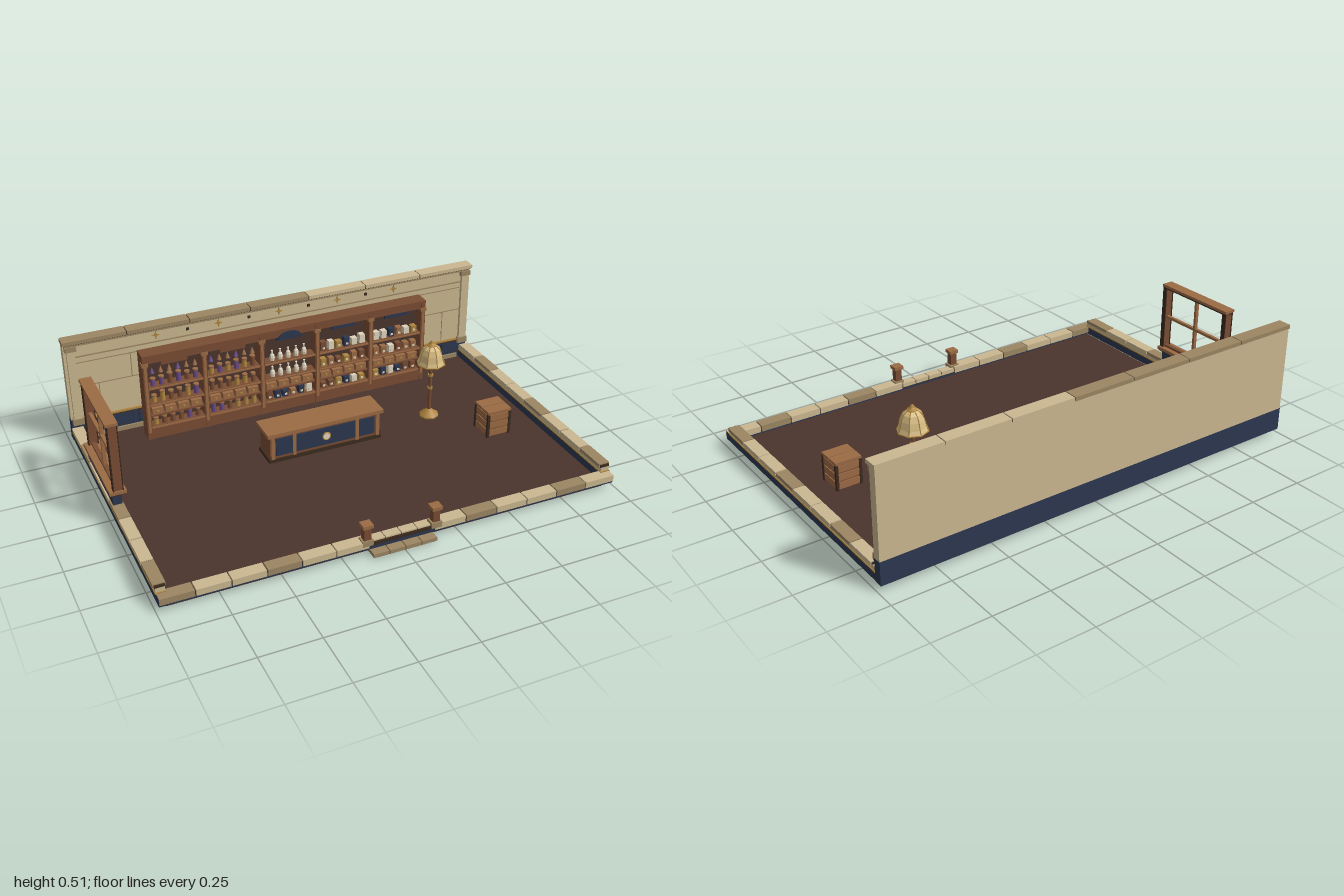
import * as THREE from 'three';

const mat = (name, color, extra = {}) => {
  const m = new THREE.MeshStandardMaterial({ color, ...extra });
  m.name = name;
  return m;
};

export function createModel() {
  const M = {
    floor: mat('floor brown', 0x4a342d),
    wood: mat('wood', 0x7a4d34),
    lightWood: mat('light wood', 0x9c6b45),
    cream: mat('cream stone', 0xcbb891),
    tan: mat('tan stone', 0x9c8663),
    navy: mat('navy', 0x2c3750),
    dark: mat('dark trim', 0x3c2b1e),
    gold: mat('gold', 0xb08640),
    pale: mat('pale glaze', 0xe0d5bd),
    purple: mat('purple', 0x6a4a86),
  };
  const root = new THREE.Group();
  const group = (name, parent = root) => {
    const g = new THREE.Group();
    g.name = name;
    parent.add(g);
    return g;
  };
  const add = (p, name, geo, m, x = 0, y = 0, z = 0) => {
    const o = new THREE.Mesh(geo, m);
    o.name = name;
    o.position.set(x, y, z);
    p.add(o);
    return o;
  };
  // box given by its limits on each axis
  const box = (p, name, m, x0, x1, y0, y1, z0, z1) =>
    add(p, name, new THREE.BoxGeometry(x1 - x0, y1 - y0, z1 - z0), m, (x0 + x1) / 2, (y0 + y1) / 2, (z0 + z1) / 2);
  const lathe = (pts, n) => new THREE.LatheGeometry(pts.map(([r, y]) => new THREE.Vector2(r, y)), n);

  // floor slab
  box(root, 'floor', M.floor, -0.955, 0.955, 0.005, 0.025, -0.635, 0.605);

  // back wall
  const back = group('backWall');
  box(back, 'wallBase', M.navy, -0.99, 0.99, 0.03, 0.13, -0.665, -0.627);
  box(back, 'wallUpper', M.cream, -0.99, 0.99, 0.13, 0.505, -0.664, -0.627);
  box(back, 'wainscotRail', M.gold, -0.98, 0.98, 0.126, 0.134, -0.63, -0.617);
  box(back, 'skirting', M.tan, -0.94, 0.94, 0.03, 0.05, -0.63, -0.618);
  for (let i = 0; i < 14; i++) {
    const x = -0.91 + i * 0.14;
    box(back, 'wainscotPanel', M.dark, x - 0.058, x + 0.058, 0.06, 0.118, -0.628, -0.624);
    box(back, 'wainscotInset', M.navy, x - 0.054, x + 0.054, 0.064, 0.114, -0.628, -0.621);
  }
  // stone courses as thin joint lines
  [0.29, 0.405].forEach((y) => box(back, 'courseJoint', M.tan, -0.94, 0.94, y - 0.002, y + 0.002, -0.628, -0.6255));
  [[0.134, 0.29, 0.85], [0.29, 0.405, 0.7], [0.134, 0.29, 0.45], [0.29, 0.405, 0.3]].forEach(([a, b, x]) =>
    [-x, x].forEach((v) => box(back, 'blockJoint', M.tan, v - 0.002, v + 0.002, a, b, -0.628, -0.6255)));
  // frieze with stars and studs
  box(back, 'friezeRail', M.tan, -0.98, 0.98, 0.492, 0.502, -0.63, -0.613);
  box(back, 'friezeLowerRail', M.tan, -0.94, 0.94, 0.433, 0.438, -0.63, -0.622);
  for (let i = -2; i <= 2; i++) {
    const star = new THREE.Shape();
    for (let k = 0; k < 8; k++) {
      const r = k % 2 ? 0.006 : 0.02, a = (k * Math.PI) / 4;
      star[k ? 'lineTo' : 'moveTo'](r * Math.cos(a), r * Math.sin(a));
    }
    add(back, 'friezeStar', new THREE.ExtrudeGeometry(star, { depth: 0.006, bevelEnabled: false }), M.gold, i * 0.29, 0.467, -0.628);
    if (i < 2) box(back, 'friezeStud', M.dark, i * 0.29 + 0.139, i * 0.29 + 0.151, 0.461, 0.473, -0.628, -0.622);
  }
  for (const s of [-1, 1]) {
    const x = s * 0.96;
    box(back, 'pilaster', M.cream, x - 0.018, x + 0.018, 0.13, 0.48, -0.64, -0.612);
    box(back, 'pilasterBase', M.tan, x - 0.025, x + 0.025, 0.11, 0.14, -0.64, -0.608);
    box(back, 'pilasterCapital', M.tan, x - 0.025, x + 0.025, 0.47, 0.492, -0.64, -0.608);
  }
  box(back, 'capBed', M.dark, -0.988, 0.988, 0.5, 0.517, -0.662, -0.612);
  for (let i = 0; i < 7; i++) {
    const x = -0.995 + i * 0.2843;
    box(back, 'capBlock', i < 4 ? M.tan : M.cream, x + 0.002, x + 0.282, 0.503, 0.52, -0.667, -0.608);
  }

  // low side walls with coping blocks
  for (const s of [-1, 1]) {
    const side = group(s < 0 ? 'rightLowWall' : 'leftLowWall');
    const slab = (n, m, a, b, y0, y1, z0, z1) => box(side, n, m, s < 0 ? -b : a, s < 0 ? -a : b, y0, y1, z0, z1);
    slab('sideBase', M.navy, 0.95, 0.988, 0.03, 0.066, -0.627, 0.63);
    slab('sideRail', M.gold, 0.948, 0.991, 0.065, 0.071, -0.627, 0.6);
    slab('sideCourse', M.cream, 0.95, 0.988, 0.07, 0.09, -0.627, 0.595);
    slab('copingBed', M.dark, 0.949, 0.99, 0.089, 0.099, -0.61, 0.595);
    for (let i = 0; i < 8; i++) {
      const z = -0.61 + i * 0.15;
      slab('copingBlock', i % 3 === 1 || (s > 0 && i === 7) ? M.tan : M.cream, 0.945, 0.995, 0.088, 0.103, z + 0.003, z + 0.147);
    }
  }

  // front kerb, open at the doorway
  const front = group('frontKerb');
  box(front, 'kerbBase', M.navy, -0.988, 0.988, 0.03, 0.048, 0.59, 0.632);
  for (let i = 0; i < 14; i++) {
    if (i === 6 || i === 7) continue;
    const x = -0.99 + i * 0.1414;
    box(front, 'kerbBlock', i % 3 === 0 ? M.tan : M.cream, x + 0.003, x + 0.139, 0.04, 0.068, 0.583, 0.637);
  }
  box(front, 'kerbBed', M.dark, -0.985, 0.985, 0.04, 0.058, 0.588, 0.632);
  for (let i = 0; i < 4; i++)
    box(front, 'doorSill', M.cream, -0.138 + i * 0.07, -0.072 + i * 0.07, 0.045, 0.064, 0.585, 0.625);
  for (const s of [-1, 1]) {
    const x = s * 0.15;
    box(front, 'gatePost', M.wood, x - 0.015, x + 0.015, 0.06, 0.135, 0.602, 0.632);
    box(front, 'gatePostFoot', M.tan, x - 0.023, x + 0.023, 0.05, 0.075, 0.596, 0.638);
    box(front, 'gatePostCap', M.lightWood, x - 0.022, x + 0.022, 0.132, 0.147, 0.597, 0.639);
  }
  box(front, 'stepBed', M.wood, -0.136, 0.136, 0.006, 0.021, 0.6, 0.662);
  for (let i = 0; i < 4; i++)
    box(front, 'stepStone', M.tan, -0.138 + i * 0.07, -0.072 + i * 0.07, 0.01, 0.026, 0.6, 0.666);

  // window frame standing on the side wall
  const win = group('windowFrame');
  box(win, 'windowWall', M.navy, -0.988, -0.95, 0.1, 0.155, -0.35, 0.04);
  box(win, 'windowSill', M.lightWood, -1, -0.93, 0.155, 0.17, -0.36, 0.052);
  box(win, 'sillTrim', M.dark, -0.996, -0.934, 0.15, 0.156, -0.355, 0.048);
  for (const z of [-0.34, 0.038]) {
    box(win, 'jamb', M.wood, -0.98, -0.945, 0.17, 0.468, z - 0.008, z + 0.008);
    for (const x of [-0.982, -0.943]) box(win, 'jambTrim', M.dark, x - 0.002, x + 0.002, 0.17, 0.468, z - 0.011, z + 0.011);
  }
  box(win, 'lintel', M.lightWood, -0.99, -0.938, 0.468, 0.48, -0.352, 0.05);
  box(win, 'lintelTrim', M.dark, -0.984, -0.942, 0.46, 0.469, -0.348, 0.046);
  box(win, 'mullion', M.lightWood, -0.97, -0.955, 0.17, 0.465, -0.157, -0.145);
  box(win, 'transom', M.lightWood, -0.97, -0.955, 0.313, 0.325, -0.335, 0.035);
  box(win, 'bottomRail', M.wood, -0.972, -0.953, 0.17, 0.18, -0.335, 0.035);

  // shelving with five bays
  const shelf = group('shelving');
  box(shelf, 'backPanel', M.floor, -0.68, 0.68, 0.025, 0.435, -0.565, -0.555);
  box(shelf, 'topBoard', M.wood, -0.685, 0.685, 0.43, 0.442, -0.567, -0.493);
  box(shelf, 'plinth', M.wood, -0.68, 0.68, 0.025, 0.075, -0.56, -0.5);
  for (let i = 0; i < 6; i++) {
    const x = -0.674 + i * 0.2696;
    box(shelf, 'upright', M.wood, x - 0.011, x + 0.011, 0.025, 0.432, -0.565, -0.497);
    box(shelf, 'uprightTrim', M.lightWood, x - 0.006, x + 0.006, 0.06, 0.39, -0.5, -0.494);
    box(shelf, 'uprightCap', M.lightWood, x - 0.015, x + 0.015, 0.39, 0.405, -0.52, -0.493);
  }
  const bottle = lathe([[0, 0], [0.011, 0], [0.013, 0.012], [0.01, 0.024], [0.004, 0.03], [0.004, 0.04], [0.006, 0.042], [0, 0.043]], 8);
  let seed = 7;
  const rnd = () => (seed = (seed * 16807) % 2147483647) / 2147483647;
  const levels = [0.085, 0.198, 0.28];
  for (let b = 0; b < 5; b++) {
    const cx = -0.539 + b * 0.2696, bay = group('bay' + (b + 1), shelf);
    box(bay, 'header', M.wood, cx - 0.125, cx + 0.125, 0.4, 0.432, -0.555, -0.502);
    box(bay, 'headerInset', b < 2 ? M.wood : M.navy, cx - 0.06, cx + 0.06, 0.382, 0.402, -0.515, -0.505);
    for (const y of levels) {
      box(bay, 'shelf', M.wood, cx - 0.125, cx + 0.125, y - 0.012, y, -0.556, -0.502);
      box(bay, 'shelfLip', M.lightWood, cx - 0.125, cx + 0.125, y - 0.007, y - 0.001, -0.503, -0.498);
    }
    box(bay, 'middleShelf', M.wood, cx - 0.125, cx + 0.125, 0.133, 0.14, -0.556, -0.505);
    levels.forEach((y, l) => {
      for (let i = 0; i < 6; i++) {
        const x = cx - 0.098 + i * 0.039, h = 0.028 + rnd() * 0.016;
        if (b === 2 && l > 0) {
          if (i < 5) add(bay, 'bottle', bottle, M.pale, x + 0.02, y, -0.525).scale.set(1, 1.2, 1);
        } else if (b < 2) {
          // jars with lids, some hanging herbs on the top shelf
          const m = rnd() < 0.35 ? M.purple : rnd() < 0.5 ? M.gold : M.wood;
          add(bay, 'jar', new THREE.CylinderGeometry(0.011, 0.012, h, 8), m, x, y + h / 2, -0.525);
          add(bay, 'jarLid', new THREE.CylinderGeometry(0.013, 0.013, 0.006, 8), M.lightWood, x, y + h + 0.003, -0.525);
          if (l === 2) add(bay, 'hangingBundle', new THREE.ConeGeometry(0.011, 0.03, 6), i % 3 ? M.lightWood : M.purple, x, 0.355, -0.525);
        } else {
          const m = [M.lightWood, M.navy, M.pale, M.gold, M.wood][Math.floor(rnd() * 5)];
          box(bay, 'packet', m, x - 0.013, x + 0.013, y, y + h, -0.54, -0.512);
          box(bay, 'packetLabel', M.pale, x - 0.006, x + 0.006, y + 0.008, y + 0.018, -0.512, -0.5105);
        }
      }
    });
    for (let i = 0; i < 4; i++) {
      const x = cx - 0.09 + i * 0.06;
      box(bay, 'drawer', M.lightWood, x - 0.025, x + 0.025, 0.142, 0.172, -0.55, -0.508);
      box(bay, 'drawerKnob', M.gold, x - 0.005, x + 0.005, 0.153, 0.161, -0.508, -0.503);
    }
  }
  // arched sign over the middle bay
  const arch = new THREE.Shape();
  arch.absellipse(0, 0, 0.055, 0.03, 0, Math.PI, false, 0);
  add(shelf, 'archSign', new THREE.ExtrudeGeometry(arch, { depth: 0.008, bevelEnabled: false }), M.navy, 0, 0.395, -0.503);

  // counter
  const counter = group('counter');
  box(counter, 'counterBody', M.wood, -0.262, 0.258, 0.025, 0.155, -0.215, -0.102);
  box(counter, 'counterTop', M.lightWood, -0.275, 0.272, 0.153, 0.17, -0.228, -0.09);
  box(counter, 'counterFoot', M.dark, -0.268, 0.264, 0.025, 0.042, -0.22, -0.096);
  box(counter, 'counterPanel', M.navy, -0.235, 0.232, 0.055, 0.14, -0.104, -0.098);
  for (const x of [-0.25, -0.15, 0.147, 0.247])
    box(counter, 'counterStile', M.lightWood, x - 0.008, x + 0.008, 0.042, 0.153, -0.105, -0.095);
  add(counter, 'medallion', new THREE.CylinderGeometry(0.017, 0.017, 0.008, 8), M.pale, 0, 0.1, -0.097).rotation.x = Math.PI / 2;
  add(counter, 'medallionRing', new THREE.TorusGeometry(0.018, 0.003, 6, 16), M.gold, 0, 0.1, -0.094);

  // floor lamp
  const lamp = group('floorLamp');
  lamp.position.set(0.55, 0, -0.18);
  add(lamp, 'lampBase', lathe([[0, 0.025], [0.045, 0.025], [0.045, 0.035], [0.025, 0.045], [0.012, 0.06], [0, 0.062]], 8), M.gold);
  add(lamp, 'lampPole', new THREE.CylinderGeometry(0.007, 0.009, 0.27, 8), M.wood, 0, 0.185, 0);
  for (const y of [0.17, 0.235, 0.28]) add(lamp, 'poleCollar', new THREE.CylinderGeometry(0.013, 0.013, 0.01, 8), M.gold, 0, y, 0);
  const profile = [[0.064, 0.297], [0.056, 0.315], [0.049, 0.345], [0.038, 0.37], [0.02, 0.385]];
  const shadeMat = mat('lamp shade', 0xd8bd84, { flatShading: true, side: THREE.DoubleSide });
  M.pale.flatShading = true;
  add(lamp, 'lampShade', lathe(profile, 8), shadeMat);
  add(lamp, 'shadeRim', new THREE.TorusGeometry(0.064, 0.003, 5, 8), M.gold, 0, 0.297, 0).rotation.set(Math.PI / 2, 0, Math.PI / 2);
  const rib = new THREE.CatmullRomCurve3(profile.map(([r, y]) => new THREE.Vector3(0, y, r)));
  for (let i = 0; i < 8; i++)
    add(lamp, 'shadeRib', new THREE.TubeGeometry(rib, 8, 0.0022, 4), M.gold).rotation.y = (i * Math.PI) / 4;
  add(lamp, 'finial', lathe([[0.022, 0.383], [0.02, 0.39], [0.006, 0.393], [0.011, 0.4], [0, 0.41]], 8), M.gold);

  // crate
  const crate = group('crate');
  box(crate, 'crateBody', M.wood, 0.698, 0.802, 0.025, 0.145, -0.007, 0.097);
  for (let i = 0; i < 2; i++)
    box(crate, 'crateLidPlank', M.lightWood, 0.692, 0.808, 0.139, 0.152, -0.013 + i * 0.06, 0.043 + i * 0.06);
  for (const y of [0.03, 0.067, 0.104])
    box(crate, 'crateSlat', M.lightWood, 0.694, 0.806, y, y + 0.03, -0.011, 0.101);
  for (const x of [0.697, 0.803]) for (const z of [-0.008, 0.098])
    box(crate, 'crateCorner', M.dark, x - 0.006, x + 0.006, 0.025, 0.14, z - 0.006, z + 0.006);

  // the shade shares the cream stone's tone family, so gold pieces stay separate
  return root;
}
